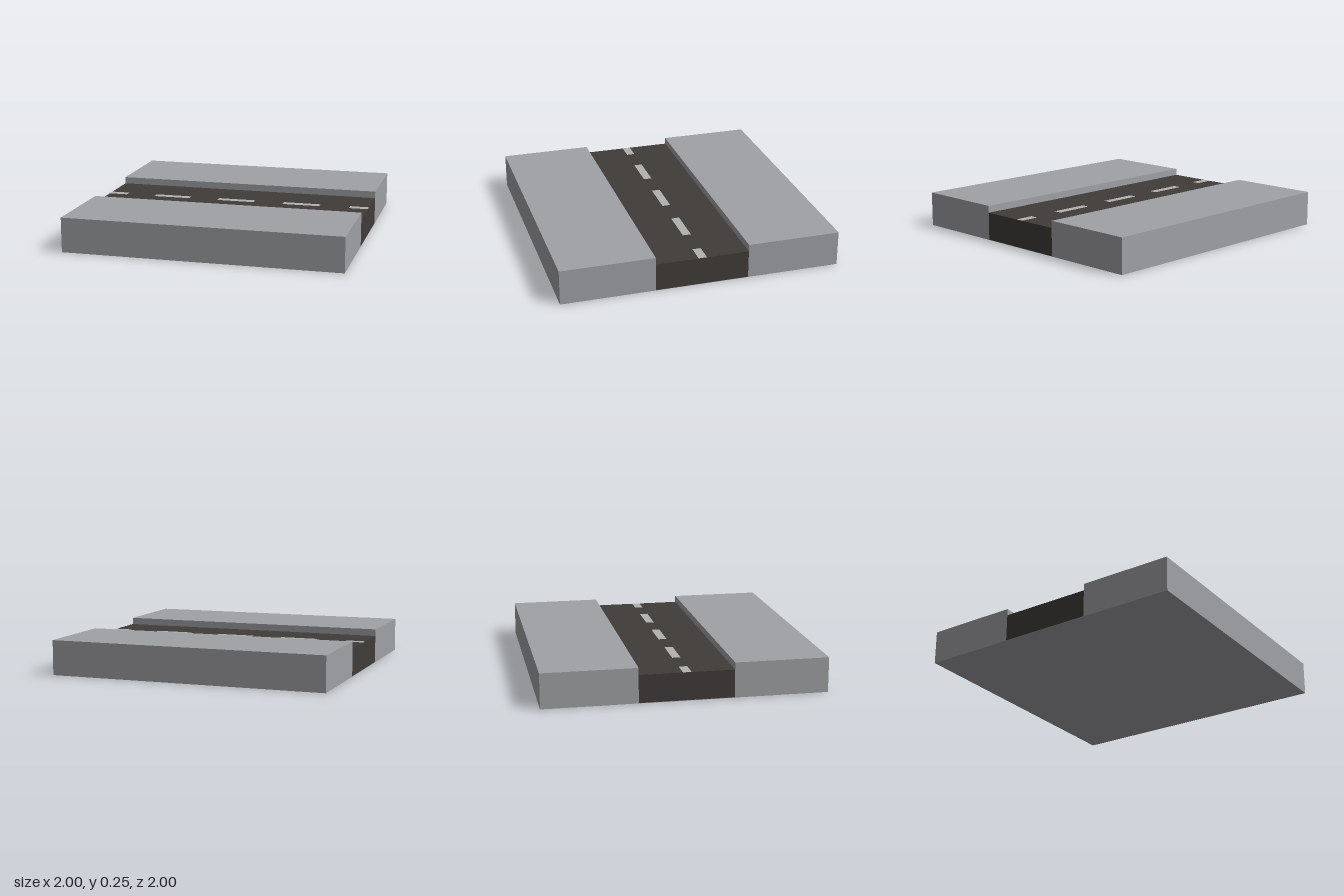
import * as THREE from 'three';

const ROAD_TOP = 0.2, KERB_TOP = 0.25, HALF_ROAD = 1 / 3;

export function createModel() {
  const group = new THREE.Group();
  const paving = new THREE.MeshStandardMaterial({ color: 0xa0a1a5 });
  const asphalt = new THREE.MeshStandardMaterial({ color: 0x3f3b39 });
  const paint = new THREE.MeshStandardMaterial({ color: 0xb2b2b0 });

  // Box given by its extents along each axis
  const slab = (name, material, [x0, x1], [y0, y1], [z0, z1]) => {
    const mesh = new THREE.Mesh(new THREE.BoxGeometry(x1 - x0, y1 - y0, z1 - z0), material);
    mesh.position.set((x0 + x1) / 2, (y0 + y1) / 2, (z0 + z1) / 2);
    mesh.name = name;
    group.add(mesh);
  };

  // Raised pavements on both sides of the road
  slab('frontPavement', paving, [-1, 1], [0, KERB_TOP], [HALF_ROAD, 1]);
  slab('backPavement', paving, [-1, 1], [0, KERB_TOP], [-1, -HALF_ROAD]);

  // Sunken road with a thin paving-coloured underside
  slab('road', asphalt, [-1, 1], [0.002, ROAD_TOP], [-HALF_ROAD, HALF_ROAD]);
  slab('roadUnderside', paving, [-1, 1], [0, 0.002], [-HALF_ROAD, HALF_ROAD]);

  // Dashed centre line, the end dashes cut off at the tile edges
  for (let i = -2; i <= 2; i++) {
    const x0 = Math.max(-1, i * 0.5 - 0.14), x1 = Math.min(1, i * 0.5 + 0.14);
    const dash = new THREE.Mesh(new THREE.PlaneGeometry(x1 - x0, 0.06), paint);
    dash.rotation.x = -Math.PI / 2;
    dash.position.set((x0 + x1) / 2, ROAD_TOP + 0.001, 0);
    dash.name = 'laneDash';
    group.add(dash);
  }
  return group;
}
